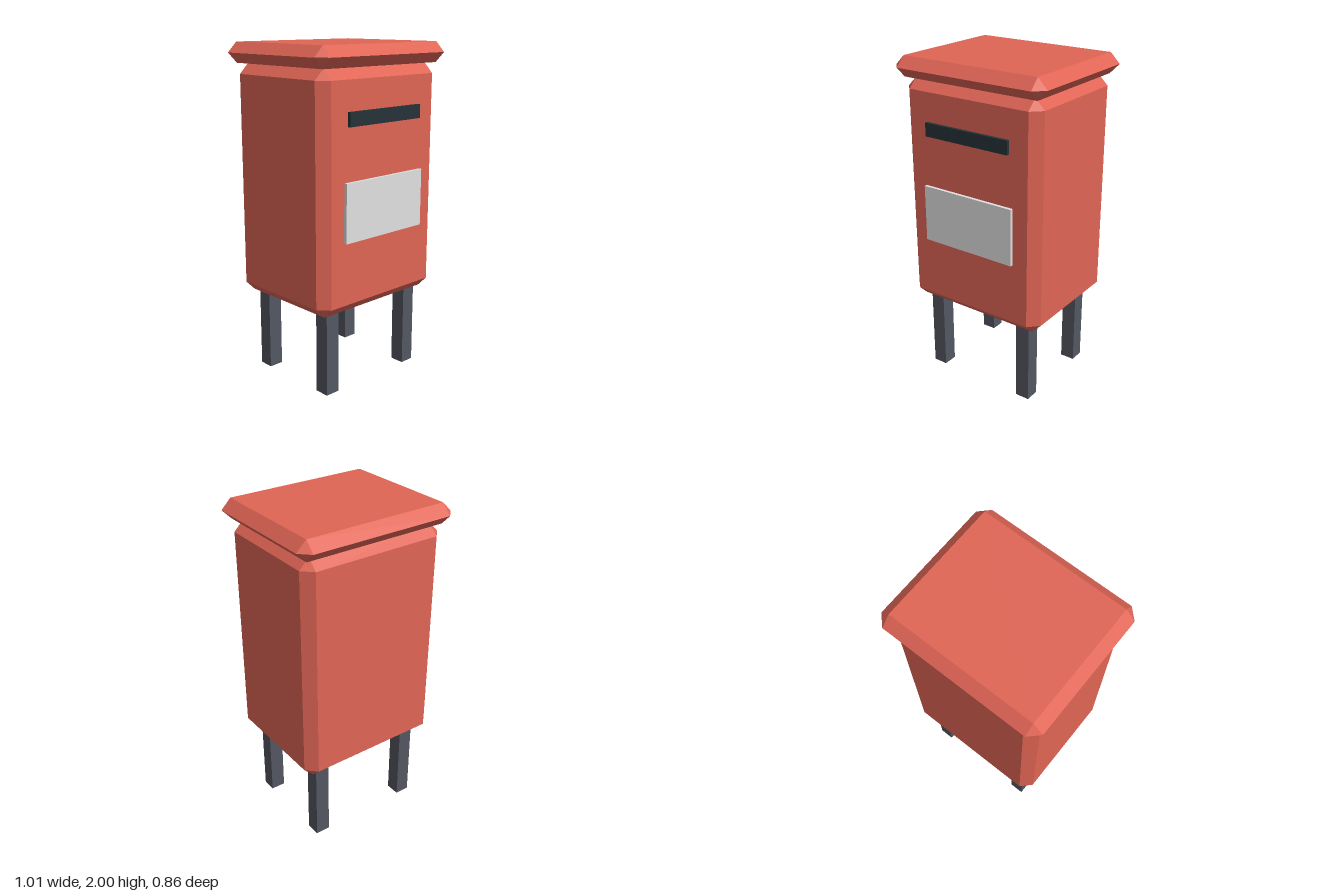
import * as THREE from 'three';
import { ConvexGeometry } from 'three/addons/geometries/ConvexGeometry.js';

const paint = (name, color) => {
  const m = new THREE.MeshStandardMaterial({ color });
  m.name = name;
  return m;
};

// Box with every edge cut at 45 degrees, base at y = 0
function chamferBox(w, h, d, c) {
  const points = [];
  const add = (x, y, z) => {
    const p = new THREE.Vector3(x, y, z);
    if (!points.some((q) => q.distanceTo(p) < 1e-5)) points.push(p);
  };
  const [a, b, e] = [w / 2, h / 2, d / 2];
  for (const x of [-1, 1]) for (const y of [-1, 1]) for (const z of [-1, 1]) {
    add(x * a, y * (b - c), z * (e - c));
    add(x * (a - c), y * b, z * (e - c));
    add(x * (a - c), y * (b - c), z * e);
  }
  return new ConvexGeometry(points).translate(0, b, 0);
}

export function createModel() {
  const model = new THREE.Group();
  model.name = 'postbox';
  const red = paint('red', 0xe06555);
  const legGrey = paint('legGrey', 0x535761);
  const dark = paint('slotDark', 0x263238);
  const pale = paint('labelGrey', 0xe0e0e0);

  const add = (name, geometry, material, x, y, z) => {
    const mesh = new THREE.Mesh(geometry, material);
    mesh.name = name;
    mesh.position.set(x, y, z);
    model.add(mesh);
  };

  // Body and overhanging lid
  add('body', chamferBox(0.92, 1.38, 0.765, 0.06), red, 0, 0.5, 0);
  add('lid', chamferBox(1.01, 0.12, 0.86, 0.06), red, 0, 1.88, 0);

  // Four square legs
  const leg = new THREE.BoxGeometry(0.09, 0.5, 0.09);
  for (const x of [-1, 1]) for (const z of [-1, 1]) {
    const name = (z > 0 ? 'front' : 'back') + (x > 0 ? 'Left' : 'Right') + 'Leg';
    add(name, leg, legGrey, x * 0.323, 0.25, z * 0.262);
  }

  // Mail slot and label plate on the front
  add('mailSlot', new THREE.BoxGeometry(0.56, 0.08, 0.03), dark, 0, 1.61, 0.387);
  add('labelPlate', new THREE.BoxGeometry(0.61, 0.34, 0.03), pale, 0, 1.097, 0.387);

  return model;
}
